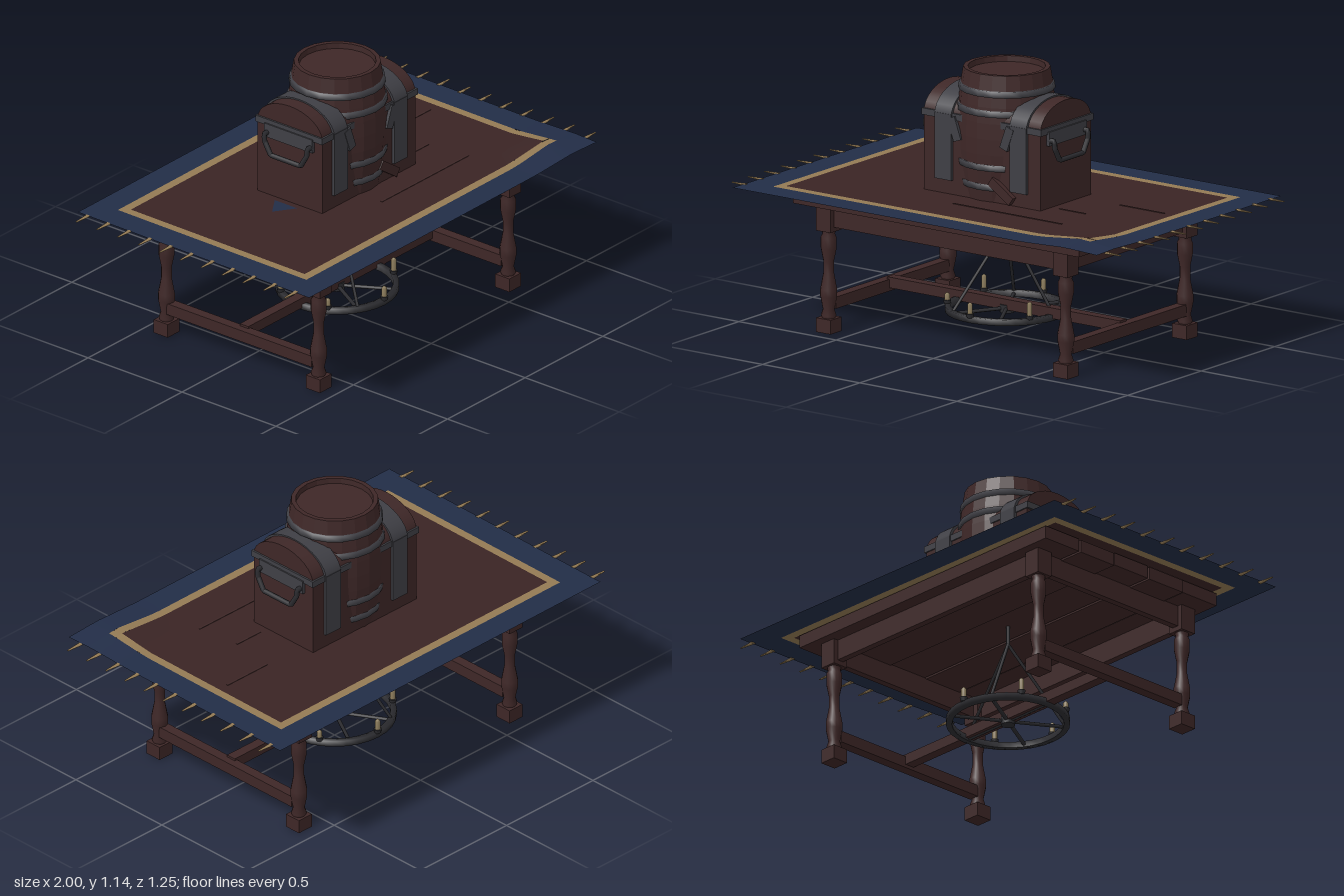
import * as THREE from 'three';

const mat = (name, color, extra = {}) => Object.assign(new THREE.MeshStandardMaterial({ color, ...extra }), { name });

export function createModel() {
  const wood = mat('dark wood', 0x3e2727);
  const woodFlat = wood;
  const iron = mat('iron', 0x3f3f45);
  const darkIron = mat('dark iron', 0x2c2c30);
  const navy = mat('navy cloth', 0x222d47, { side: THREE.DoubleSide });
  const gold = mat('gold cloth', 0x937a54, { side: THREE.DoubleSide });
  const red = mat('brown red cloth', 0x3a2424, { side: THREE.DoubleSide });
  const wax = mat('candle wax', 0x8c7c5c);

  const model = new THREE.Group();
  const group = (name) => {
    const g = new THREE.Group();
    g.name = name;
    model.add(g);
    return g;
  };
  const add = (parent, name, geo, material, x = 0, y = 0, z = 0) => {
    const m = new THREE.Mesh(geo, material);
    m.name = name;
    m.position.set(x, y, z);
    parent.add(m);
    return m;
  };
  const box = (parent, name, material, w, h, d, x, y, z) =>
    add(parent, name, new THREE.BoxGeometry(w, h, d), material, x, y, z);
  const lathe = (pts, n) => new THREE.LatheGeometry(pts.map(([r, y]) => new THREE.Vector2(r, y)), n);
  const rod = (parent, name, material, a, b, r) => {
    const path = new THREE.LineCurve3(new THREE.Vector3(...a), new THREE.Vector3(...b));
    return add(parent, name, new THREE.TubeGeometry(path, 1, r, 6), material);
  };

  // Table: five planks, aprons, turned legs and stretchers
  const table = group('table');
  const tops = [0.594, 0.59, 0.596, 0.592, 0.595];
  tops.forEach((top, i) =>
    box(table, 'plank', wood, 1.47 + (i % 2) * 0.01, 0.055, 0.188, 0, top - 0.0275, (i - 2) * 0.194));
  for (const s of [-1, 1]) {
    box(table, 'longApron', wood, 1.15, 0.09, 0.03, 0, 0.495, s * 0.405);
    box(table, 'endApron', wood, 0.03, 0.09, 0.74, s * 0.61, 0.495, 0);
    box(table, 'endStretcher', wood, 0.045, 0.05, 0.77, s * 0.61, 0.12, 0);
  }
  box(table, 'centreStretcher', wood, 1.2, 0.045, 0.045, 0, 0.132, 0);
  const turned = lathe([[0.026, 0.055], [0.032, 0.07], [0.024, 0.095], [0.035, 0.15], [0.035, 0.18],
    [0.022, 0.25], [0.022, 0.3], [0.033, 0.355], [0.033, 0.4], [0.026, 0.415], [0.03, 0.435]], 12);
  for (const x of [-0.61, 0.61]) for (const z of [-0.405, 0.405]) {
    box(table, 'legFoot', wood, 0.075, 0.06, 0.075, x, 0.03, z);
    box(table, 'legBlock', wood, 0.075, 0.11, 0.075, x, 0.485, z);
    add(table, 'turnedLeg', turned, wood, x, 0, z);
  }

  // Rug: flat zones sharing one height rule with a raised fold near a corner
  const rug = group('rug');
  const lay = (x, z) => {
    const fold = Math.max(0, 1 - Math.abs(x - 0.77) / 0.22) * Math.max(0, 1 - Math.abs(z - 0.5) / 0.2);
    return [x - 0.009 * z, 0.603 + 0.024 * fold, z - 0.006 * x];
  };
  const patch = (name, material, x0, x1, z0, z1) => {
    const nx = Math.ceil((x1 - x0) / 0.06), nz = Math.ceil((z1 - z0) / 0.06);
    const geo = new THREE.PlaneGeometry(x1 - x0, z1 - z0, nx, nz).rotateX(-Math.PI / 2);
    geo.translate((x0 + x1) / 2, 0, (z0 + z1) / 2);
    const p = geo.attributes.position;
    for (let i = 0; i < p.count; i++) p.setXYZ(i, ...lay(p.getX(i), p.getZ(i)));
    geo.computeVertexNormals();
    add(rug, name, geo, material);
  };
  const frame = (name, material, X, Z, x, z) => {
    patch(name, material, -X, X, -Z, -z);
    patch(name, material, -X, X, z, Z);
    patch(name, material, -X, -x, -z, z);
    patch(name, material, x, X, -z, z);
  };
  frame('rugEdge', navy, 0.933, 0.62, 0.812, 0.505);
  frame('rugBorder', gold, 0.812, 0.505, 0.775, 0.466);
  patch('rugField', red, -0.775, 0.775, -0.466, 0.466);
  const tassel = new THREE.CylinderGeometry(0.005, 0.012, 0.075, 6).rotateZ(-Math.PI / 2).scale(1, 0.4, 1);
  for (let i = 0; i < 11; i++) for (const s of [-1, 1]) {
    const t = add(rug, 'tassel', tassel, gold, s * 0.9625, 0.601, -0.563 + i * 0.111);
    if (s < 0) t.rotation.y = Math.PI;
  }
  // Pointed motif and raised plank edges showing on the rug
  const tip = new THREE.Shape([[-0.42, 0], [-0.33, -0.06], [-0.33, 0.06]].map((p) => new THREE.Vector2(...p)));
  add(rug, 'rugMotif', new THREE.ShapeGeometry(tip).rotateX(-Math.PI / 2), navy, 0, 0.605, 0);
  for (const [x0, x1, z] of [[0.5, 0.73, -0.108], [0.34, 0.475, 0.092], [-0.06, 0.5, 0.285]])
    box(rug, 'plankEdge', wood, x1 - x0, 0.004, 0.008, (x0 + x1) / 2, 0.603, z);

  // Chest with domed lid, straps and handles
  const chest = group('chest');
  const dome = (w, h, d) =>
    new THREE.CylinderGeometry(1, 1, w, 16, 1, false, 0, Math.PI).rotateZ(Math.PI / 2).scale(1, h, d);
  box(chest, 'chestBody', wood, 0.6, 0.33, 0.344, 0, 0.768, -0.004);
  add(chest, 'chestLid', dome(0.6, 0.107, 0.172), wood, 0, 0.933, -0.004);
  box(chest, 'lidRim', iron, 0.616, 0.028, 0.356, 0, 0.934, -0.004);
  for (const s of [-1, 1]) {
    box(chest, 'bodyStrap', iron, 0.086, 0.28, 0.368, s * 0.193, 0.803, -0.004);
    add(chest, 'lidStrap', dome(0.086, 0.113, 0.184), iron, s * 0.193, 0.933, -0.004);
    box(chest, 'handlePlate', iron, 0.018, 0.06, 0.255, s * 0.305, 0.9, -0.002);
    const bail = [[0.3, 0.892, 0.115], [0.332, 0.892, 0.115], [0.332, 0.86, 0.112], [0.332, 0.805, 0.08]];
    const pts = [...bail, ...bail.slice().reverse().map(([x, y, z]) => [x, y, -z])]
      .map(([x, y, z]) => new THREE.Vector3(s * x, y, z));
    const path = new THREE.CurvePath();
    for (let i = 1; i < pts.length; i++) path.add(new THREE.LineCurve3(pts[i - 1], pts[i]));
    add(chest, 'handle', new THREE.TubeGeometry(path, 40, 0.011, 8), darkIron);
    const hasp = box(chest, 'hasp', iron, 0.04, 0.1, 0.02, s * 0.135, 0.885, 0.172);
    hasp.rotation.z = s * -0.35;
  }
  box(chest, 'looseSlat', wood, 0.13, 0.04, 0.025, 0.11, 0.66, 0.178).rotation.z = -0.6;

  // Barrel: bulging staves, recessed head and four hoops
  const barrel = group('barrel');
  const radius = (y) => 0.204 - 0.025 * ((y - 0.87) / 0.27) ** 2;
  const profile = [[0, 0.603]];
  for (let i = 0; i <= 8; i++) {
    const y = 0.603 + i * 0.067;
    profile.push([radius(y), y]);
  }
  profile.push([0.16, 1.139], [0.158, 1.115], [0, 1.115]);
  const staves = lathe(profile, 20).toNonIndexed();
  staves.computeVertexNormals();
  add(barrel, 'staves', staves, woodFlat);
  for (const y of [0.665, 0.75, 0.98, 1.062]) {
    const a = radius(y - 0.013), b = radius(y + 0.013);
    add(barrel, 'hoop', lathe([[a - 0.01, y - 0.013], [a + 0.007, y - 0.013], [b + 0.007, y + 0.013],
      [b - 0.01, y + 0.013]], 20), iron);
  }

  // Wheel chandelier hung below the table
  const lamp = group('chandelier');
  add(lamp, 'wheelRing', lathe([[0.23, 0.1], [0.255, 0.1], [0.255, 0.125], [0.23, 0.125], [0.23, 0.1]], 32), darkIron);
  add(lamp, 'hub', new THREE.CylinderGeometry(0.03, 0.03, 0.035, 12), darkIron, 0, 0.112, 0);
  add(lamp, 'hook', new THREE.CylinderGeometry(0.008, 0.008, 0.09, 8), darkIron, 0, 0.495, 0);
  for (let i = 0; i < 6; i++) {
    const a = (i * Math.PI) / 3, c = Math.cos(a), s = Math.sin(a);
    rod(lamp, 'spoke', darkIron, [0, 0.112, 0], [c * 0.24, 0.112, s * 0.24], 0.008);
    if (i % 2 === 0) rod(lamp, 'hanger', darkIron, [0, 0.46, 0], [c * 0.24, 0.12, s * 0.24], 0.007);
    const h = [0.05, 0.06, 0.035][i % 3];
    const x = s * 0.245, z = c * 0.25;
    add(lamp, 'candleCup', new THREE.CylinderGeometry(0.017, 0.013, 0.018, 10), darkIron, x, 0.13, z);
    add(lamp, 'candle', lathe([[0.011, 0], [0.011, h - 0.008], [0.004, h], [0, h]], 10), wax, x, 0.135, z);
  }
  return model;
}
